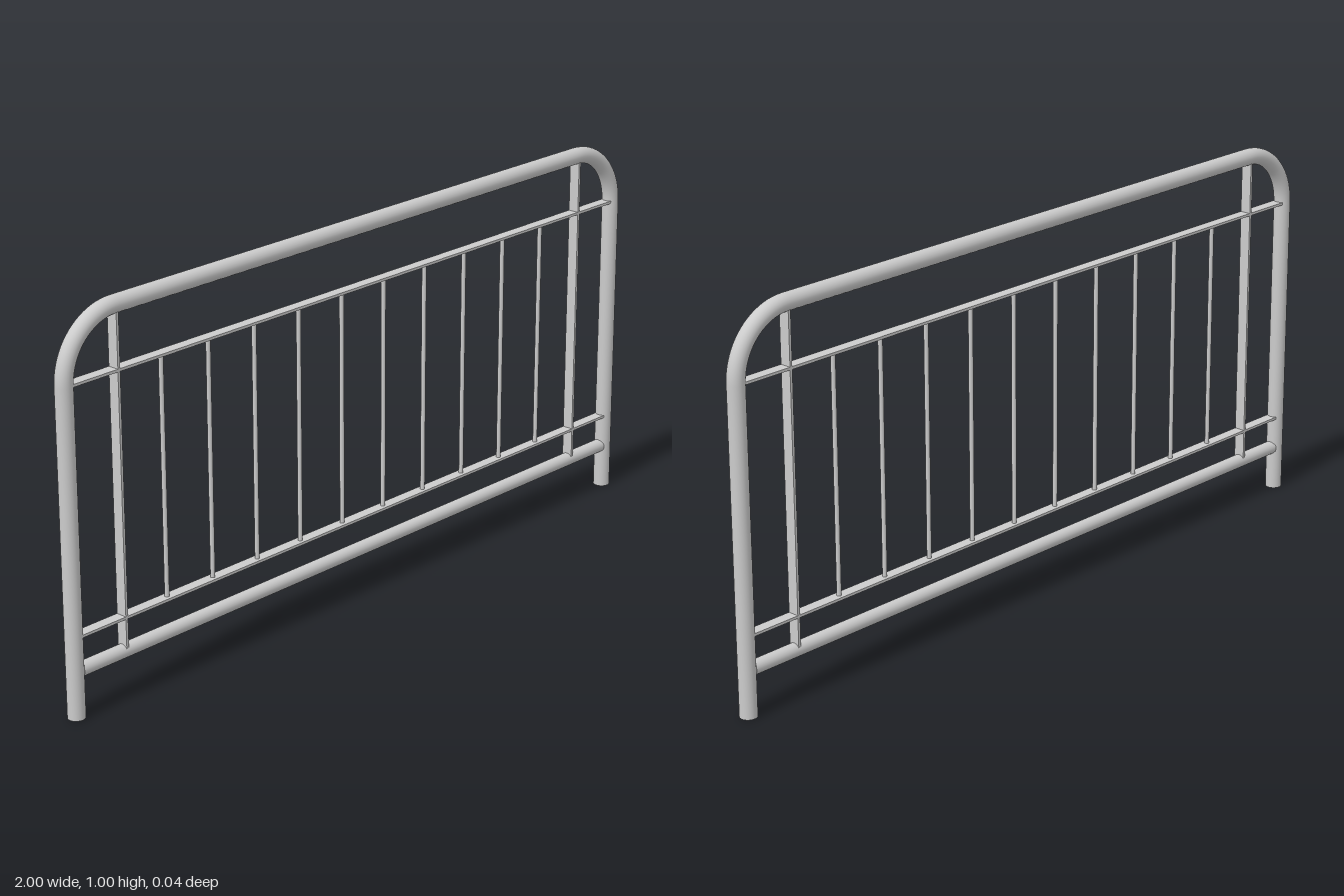
import * as THREE from 'three';

export function createModel() {
  const group = new THREE.Group();
  group.name = 'railing';
  const material = new THREE.MeshStandardMaterial({ color: 0xcccccc });

  const add = (name, geometry, x, y, z = 0) => {
    const mesh = new THREE.Mesh(geometry, material);
    mesh.name = name;
    mesh.position.set(x, y, z);
    group.add(mesh);
    return mesh;
  };
  const rod = (radius, length, sides = 24) =>
    new THREE.CylinderGeometry(radius, radius, length, sides);

  // Bent tube frame: legs, rounded corners and top rail
  const r = 0.022, bend = 0.155, edge = 1 - r, start = edge - bend;
  for (const side of [1, -1]) {
    const label = side > 0 ? 'left' : 'right';
    add(label + 'Leg', rod(r, start), side * edge, start / 2);
    const corner = add(label + 'Corner',
      new THREE.TorusGeometry(bend, r, 24, 20, Math.PI / 2), side * start, start);
    if (side < 0) corner.rotation.z = Math.PI / 2;

    // Flat upright between the bottom tube and the top rail
    add(label + 'Upright', new THREE.BoxGeometry(0.007, 0.84, 0.03), side * 0.825, 0.545);
  }
  add('topRail', rod(r, 2 * start), 0, edge).rotation.z = Math.PI / 2;

  // Thinner bottom tube
  add('bottomTube', rod(0.018, 2 * edge - 0.03), 0, 0.118).rotation.z = Math.PI / 2;

  // Flat horizontal bars that hold the balusters
  const low = 0.207, high = 0.823;
  add('lowerBar', new THREE.BoxGeometry(2 * edge - 0.03, 0.007, 0.03), 0, low);
  add('upperBar', new THREE.BoxGeometry(2 * edge - 0.03, 0.007, 0.03), 0, high);

  // Ten round balusters
  const count = 10, step = 0.1515;
  for (let i = 0; i < count; i++) {
    add('baluster' + (i + 1), rod(0.006, high - low, 12),
      (i - (count - 1) / 2) * step, (low + high) / 2);
  }
  return group;
}
